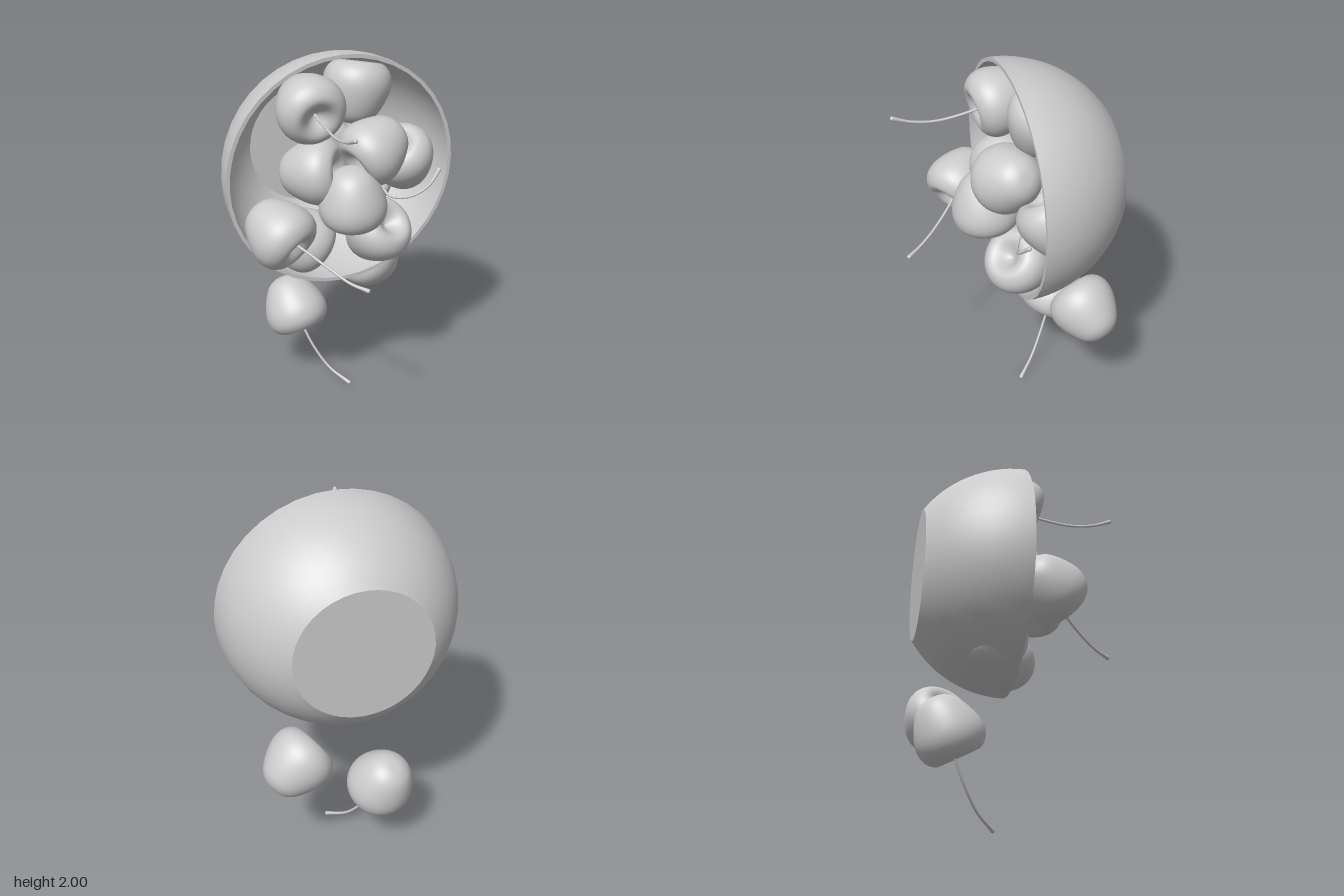
import * as THREE from 'three';
import { toCreasedNormals } from 'three/addons/utils/BufferGeometryUtils.js';

const material = new THREE.MeshStandardMaterial({ color: 0xcccccc });
const v2 = (x, y) => new THREE.Vector2(x, y);
const v3 = (p) => new THREE.Vector3(...p);

function mesh(name, geometry) {
  const m = new THREE.Mesh(geometry, material);
  m.name = name;
  return m;
}

// Thin-walled spherical bowl with a flat base, lying on its side
function makeBowl() {
  const R = 0.627, r = 0.607, base = -0.516, floor = -0.498, steps = 14;
  const pts = [v2(0, base)];
  const arc = (radius, y0, y1) => {
    const a0 = Math.asin(y0 / radius), a1 = Math.asin(y1 / radius);
    for (let i = 0; i <= steps; i++) {
      const a = a0 + (a1 - a0) * i / steps;
      pts.push(v2(radius * Math.cos(a), radius * Math.sin(a)));
    }
  };
  arc(R, base, 0);
  arc(r, 0, floor);
  pts.push(v2(0, floor));
  const geo = toCreasedNormals(new THREE.LatheGeometry(pts, 40), 0.6);
  geo.rotateX(Math.PI / 2);
  const bowl = mesh('bowl', geo);
  bowl.position.y = 1.373;
  return bowl;
}

// Cherry flesh: rounded tip below, broad shoulder and stem dimple above
const fleshProfile = new THREE.SplineCurve([
  v2(0, -0.168), v2(0.05, -0.163), v2(0.105, -0.128), v2(0.152, -0.05), v2(0.178, 0.035),
  v2(0.168, 0.105), v2(0.125, 0.15), v2(0.08, 0.148), v2(0.03, 0.108), v2(0, 0.09),
]).getPoints(36).map((p) => v2(Math.max(0, p.x), p.y));
fleshProfile[0].x = fleshProfile[fleshProfile.length - 1].x = 0;
const fleshGeometry = new THREE.LatheGeometry(fleshProfile, 40);

// Curved stem that swells into a small knob at its free end
function makeStem(points) {
  const curve = new THREE.CatmullRomCurve3(points.map(v3));
  const rows = 28, sides = 8;
  const geo = new THREE.TubeGeometry(curve, rows, 0.008, sides);
  const pos = geo.attributes.position, p = new THREE.Vector3();
  for (let i = 0; i <= rows; i++) {
    const c = curve.getPointAt(i / rows);
    const s = 0.9 + 0.6 * Math.pow(i / rows, 8);
    for (let j = 0; j <= sides; j++) {
      const k = i * (sides + 1) + j;
      p.fromBufferAttribute(pos, k).sub(c).multiplyScalar(s).add(c);
      pos.setXYZ(k, p.x, p.y, p.z);
    }
  }
  const stem = new THREE.Group();
  stem.name = 'stem';
  const knob = mesh('stemKnob', new THREE.SphereGeometry(0.012, 10, 8));
  knob.position.copy(curve.getPoint(1));
  stem.add(mesh('stemStalk', geo), knob);
  return stem;
}

// name, centre, direction of the stem end, optional stem path
const cherries = [
  ['topLeftCherry', [-0.175, 1.75, -0.04], [0.05, -0.25, 1],
    [[-0.17, 1.73, 0.03], [-0.165, 1.71, 0.12], [-0.16, 1.69, 0.3], [-0.155, 1.71, 0.43], [-0.15, 1.75, 0.53]]],
  ['topRightCherry', [0.13, 1.755, -0.14], [0.2, 0.95, -0.2]],
  ['upperRightCherry', [0.175, 1.5, 0.03], [-0.8, -0.45, 0.2]],
  ['middleLeftCherry', [-0.15, 1.38, -0.06], [0.7, 0.15, 0.6]],
  ['middleFrontCherry', [0.01, 1.275, 0.11], [0.08, -0.98, -0.1]],
  ['rightCherry', [0.4, 1.34, -0.13], [-0.4, 0.8, 0.32]],
  ['innerRightCherry', [0.17, 1.24, -0.23], [0.3, 0.3, 0.9],
    [[0.2, 1.29, -0.14], [0.235, 1.25, -0.05], [0.27, 1.2, 0.01], [0.37, 1.205, 0.06], [0.46, 1.26, 0.08], [0.53, 1.33, 0.055]]],
  ['leftCherry', [-0.4, 1.16, 0.11], [0.45, -0.5, 0.7],
    [[-0.36, 1.12, 0.16], [-0.3, 1.08, 0.21], [-0.2, 1.005, 0.33], [-0.13, 0.96, 0.43], [-0.07, 0.948, 0.51]]],
  ['bottomLeftCherry', [-0.2, 0.985, -0.13], [0.75, -0.6, 0.1]],
  ['bottomRightCherry', [0.2, 0.985, -0.03], [0.3, 0.65, 0.65]],
  ['innerTopCherry', [0.07, 1.52, -0.3], [0.3, 0.5, 0.6]],
  ['fallenRightCherry', [0.32, 0.655, -0.36], [-0.75, 0.5, 0.3]],
  ['fallenLeftCherry', [-0.165, 0.445, -0.36], [0.2, -0.85, 0.46],
    [[-0.15, 0.38, -0.33], [-0.13, 0.32, -0.31], [-0.085, 0.2, -0.255], [-0.015, 0.08, -0.175], [0.07, 0.012, -0.08]]],
];

export function createModel() {
  const model = new THREE.Group();
  model.name = 'bowlOfCherries';
  model.add(makeBowl());
  const up = new THREE.Vector3(0, 1, 0);
  for (const [name, centre, axis, stem] of cherries) {
    const cherry = new THREE.Group();
    cherry.name = name;
    const flesh = mesh('flesh', fleshGeometry);
    flesh.position.set(...centre);
    flesh.quaternion.setFromUnitVectors(up, v3(axis).normalize());
    cherry.add(flesh);
    if (stem) cherry.add(makeStem(stem));
    model.add(cherry);
  }
  return model;
}
